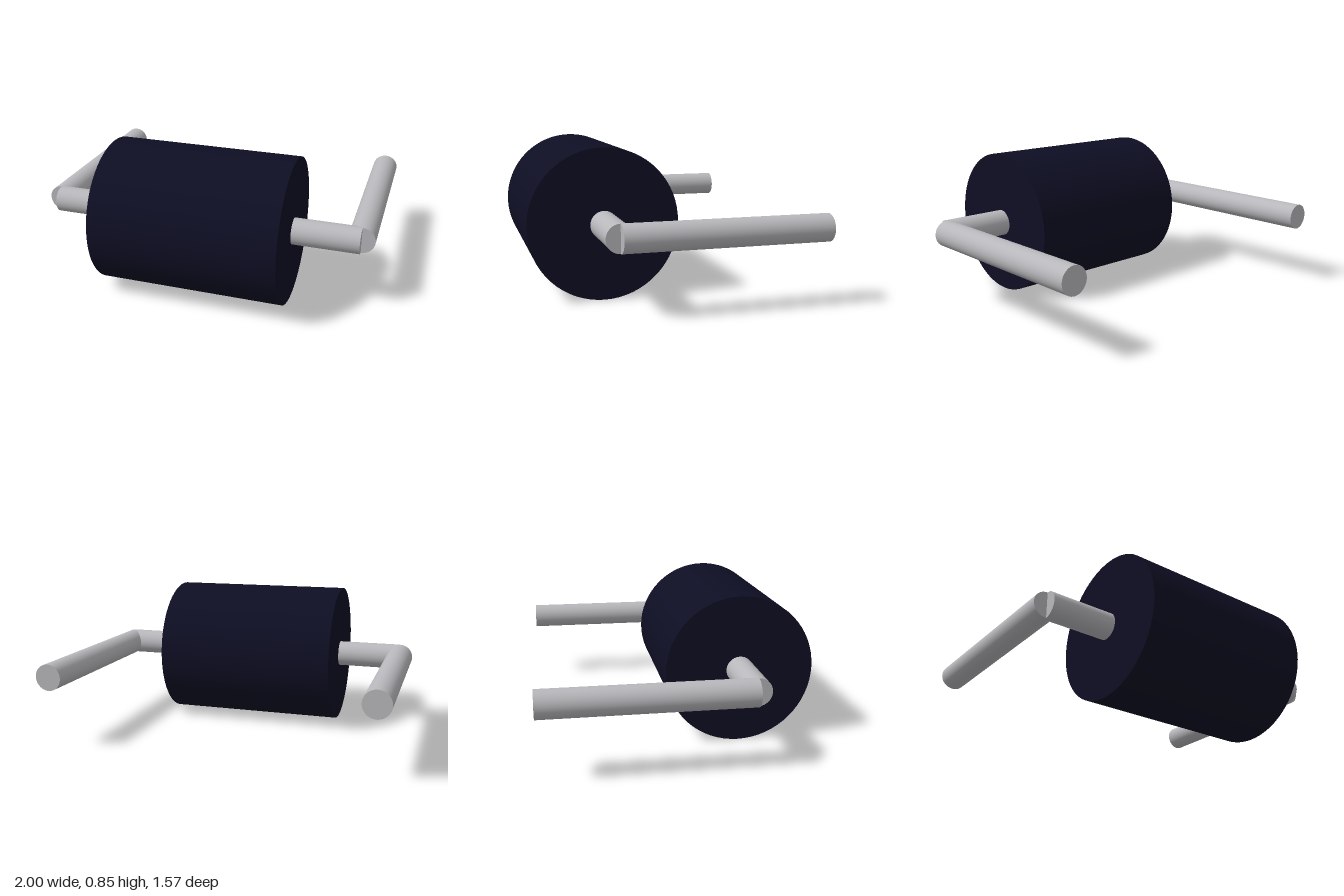
import * as THREE from 'three';

const ROLLER_R = 0.423, ROD_R = 0.077;
const AXIS_Y = 0.423, AXIS_Z = 0.362;
const ARM_X = 0.923, BACK_Z = -0.785;

export function createModel() {
  const group = new THREE.Group();
  const navy = new THREE.MeshStandardMaterial({ color: 0x0e0e24 });
  navy.name = 'navy';
  const steel = new THREE.MeshStandardMaterial({ color: 0xb8b8bc });
  steel.name = 'steel';

  const addCylinder = (name, radius, length, material, axis, x, z) => {
    const geometry = new THREE.CylinderGeometry(radius, radius, length, 64);
    if (axis === 'x') geometry.rotateZ(Math.PI / 2);
    else geometry.rotateX(Math.PI / 2);
    const mesh = new THREE.Mesh(geometry, material);
    mesh.name = name;
    mesh.position.set(x, AXIS_Y, z);
    group.add(mesh);
  };

  // Roller drum and the axle through it
  addCylinder('roller', ROLLER_R, 1.08, navy, 'x', 0, AXIS_Z);
  addCylinder('axle', ROD_R, ARM_X * 2, steel, 'x', 0, AXIS_Z);

  // Arms running back from the axle ends
  for (const [name, side] of [['leftArm', 1], ['rightArm', -1]]) {
    addCylinder(name, ROD_R, AXIS_Z - BACK_Z, steel, 'z', side * ARM_X, (AXIS_Z + BACK_Z) / 2);
  }
  return group;
}
